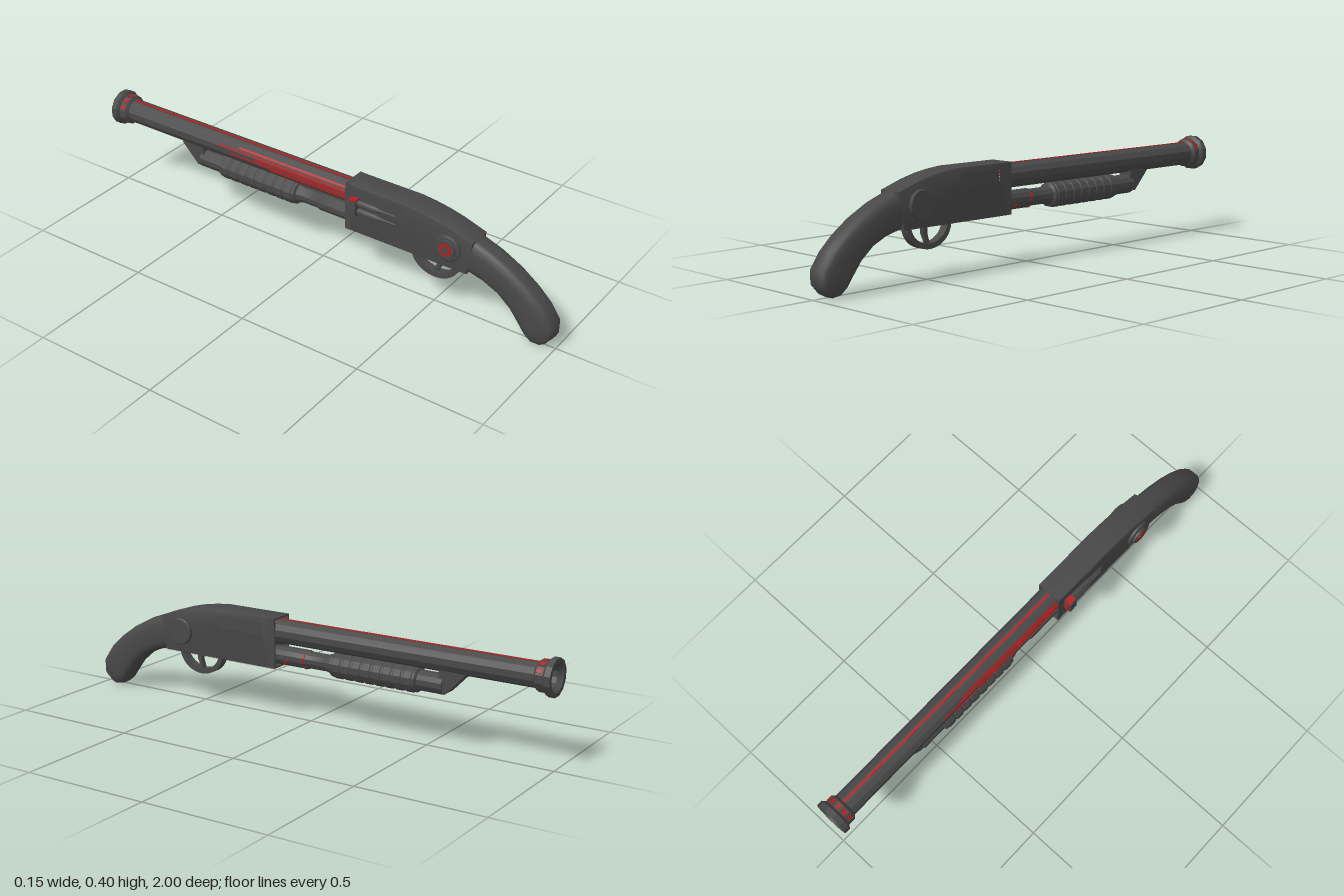
import * as THREE from 'three';
import { toCreasedNormals } from 'three/addons/utils/BufferGeometryUtils.js';

const gunmetal = new THREE.MeshStandardMaterial({ color: 0x484848, name: 'gunmetal' });
const red = new THREE.MeshStandardMaterial({ color: 0xb81c1c, name: 'red' });

const BARREL_Y = 0.34, TUBE_Y = 0.246;

export function createModel() {
  const root = new THREE.Group();
  root.name = 'shotgun';
  root.position.x = 0.005;

  const add = (name, geo, mat = gunmetal, x = 0, y = 0, z = 0) => {
    const mesh = new THREE.Mesh(geo, mat);
    mesh.name = name;
    mesh.position.set(x, y, z);
    root.add(mesh);
    return mesh;
  };

  // Turned part along z; profile is [radius, z] running from back to muzzle
  const turned = (profile, sides = 12) => toCreasedNormals(new THREE.LatheGeometry(
    profile.map(([r, z]) => new THREE.Vector2(r, -z)), sides, Math.PI / sides).rotateX(-Math.PI / 2), 0.45);

  // Turned part on the side of the body; profile is [radius, distance from centre]
  const knob = (profile, side) => toCreasedNormals(new THREE.LatheGeometry(
    profile.map(([r, d]) => new THREE.Vector2(r, d)), 20).rotateZ(-side * Math.PI / 2), 0.45);

  // Side outline given as [z, y], extruded across x and centred
  const outline = pts => new THREE.Shape(pts.map(([z, y]) => new THREE.Vector2(-z, y)));
  const slab = (shape, width, bevel = 0) => toCreasedNormals(new THREE.ExtrudeGeometry(shape, {
    depth: width - 2 * bevel, bevelEnabled: bevel > 0, bevelSize: bevel, bevelThickness: bevel,
    bevelOffset: -bevel, bevelSegments: 2, curveSegments: 16,
  }).translate(0, 0, -width / 2 + bevel).rotateY(Math.PI / 2), 0.5);

  // Thin plate lying on a z-axis cylinder; angle is measured from +x towards +y
  const plate = (name, angle, radius, cy, z, width, length) => {
    const a = THREE.MathUtils.degToRad(angle);
    const mesh = add(name, new THREE.BoxGeometry(0.004, width, length), red,
      Math.cos(a) * radius, cy + Math.sin(a) * radius, z);
    mesh.rotation.z = a;
  };

  // Receiver with an ejection port on the left side
  const body = outline([[0.15, 0.2], [0.15, 0.397], [0.4, 0.397], [0.46, 0.391], [0.52, 0.381],
    [0.58, 0.366], [0.67, 0.336], [0.65, 0.2]].reverse());
  body.holes.push(new THREE.Path([[0.39, 0.32], [0.39, 0.38], [0.185, 0.38], [0.185, 0.32]]
    .map(([z, y]) => new THREE.Vector2(-z, y))));
  add('receiver', slab(body, 0.1, 0.005));
  add('ejectionPort', new THREE.BoxGeometry(0.09, 0.066, 0.212), gunmetal, -0.0055, 0.35, 0.2875);

  // Raised rim around the receiver's front opening
  const box = (Type, w, y0, y1) => new Type([[-w, y0], [w, y0], [w, y1], [-w, y1]]
    .map(([x, y]) => new THREE.Vector2(x, y)));
  const rim = box(THREE.Shape, 0.049, 0.201, 0.396);
  rim.holes.push(box(THREE.Path, 0.042, 0.208, 0.389));
  add('receiverRim', new THREE.ExtrudeGeometry(rim, { depth: 0.025, bevelEnabled: false }), gunmetal, 0, 0, 0.13);

  // Curved grip lofted through [top z, top y, bottom z, bottom y, half width]
  add('grip', gripGeometry([
    [0.6, 0.355, 0.6, 0.203, 0.047], [0.67, 0.336, 0.645, 0.2, 0.05], [0.75, 0.306, 0.71, 0.183, 0.05],
    [0.83, 0.263, 0.77, 0.155, 0.05], [0.9, 0.213, 0.82, 0.112, 0.05], [0.955, 0.162, 0.855, 0.065, 0.05],
    [0.995, 0.105, 0.88, 0.03, 0.049], [0.995, 0.055, 0.905, 0.01, 0.044], [0.97, 0.022, 0.935, 0.003, 0.028],
  ]));

  // Trigger guard and trigger
  const guard = new THREE.Shape();
  guard.absellipse(-0.503, 0.205, 0.103, 0.09, Math.PI, 2 * Math.PI, false);
  guard.absellipse(-0.503, 0.205, 0.085, 0.07, 2 * Math.PI, Math.PI, true);
  add('triggerGuard', slab(guard, 0.034));
  add('trigger', slab(outline([[0.525, 0.21], [0.525, 0.17], [0.51, 0.135], [0.497, 0.135],
    [0.507, 0.17], [0.505, 0.21]]), 0.018));

  // Hollow barrel with a flared muzzle
  add('barrel', turned([[0.047, 0.16], [0.047, -0.93], [0.058, -0.94], [0.058, -0.968], [0.07, -0.978],
    [0.07, -1], [0.053, -1], [0.04, -0.98], [0.04, -0.8], [0, -0.8]]), gunmetal, 0, BARREL_Y);
  plate('topStripe', 90, 0.045, BARREL_Y, -0.4, 0.009, 1.07);
  for (const angle of [30, 60, 90, 120, 150]) plate('muzzleMark', angle, 0.0565, BARREL_Y, -0.954, 0.014, 0.02);

  // Stripes on the right side of the barrel, fading forward
  [[142, 0.5, 0.008], [158, 0.6, 0.006], [172, 0.42, 0.008], [187, 0.55, 0.005], [201, 0.35, 0.006]]
    .forEach(([angle, length, width]) => plate('sideStripe', angle, 0.046, BARREL_Y, 0.13 - length / 2, width, length));

  // Magazine tube
  add('magazineTube', turned([[0.036, 0.16], [0.036, 0.0], [0.032, -0.01], [0.032, -0.08], [0.038, -0.1],
    [0.038, -0.575], [0, -0.575]]), gunmetal, 0, TUBE_Y);
  plate('tubeMark', -30, 0.0355, TUBE_Y, 0.09, 0.012, 0.012);
  for (const angle of [-60, 0, 30]) plate('tubeMark', angle, 0.0355, TUBE_Y, 0.01, 0.014, 0.008);

  // Ribbed pump
  const pump = [[0.036, -0.105], [0.047, -0.112]];
  for (let i = 0; i < 8; i++) {
    const z = -0.122 - i * 0.043;
    pump.push([0.047, z], [0.05, z - 0.004], [0.05, z - 0.032], [0.047, z - 0.036]);
  }
  pump.push([0.047, -0.468], [0.036, -0.475]);
  add('pump', turned(pump), gunmetal, 0, TUBE_Y);

  // Wedge bracket joining tube and barrel
  add('frontBracket', slab(outline([[-0.56, 0.225], [-0.59, 0.22], [-0.665, 0.298], [-0.56, 0.305]].reverse()), 0.056));

  // Side caps
  add('leftCap', knob([[0.053, 0.04], [0.053, 0.06], [0.05, 0.063], [0, 0.063]], 1), gunmetal, 0, 0.285, 0.573);
  add('rightDial', knob([[0.053, 0.04], [0.053, 0.058], [0.045, 0.062], [0.038, 0.062], [0.036, 0.07],
    [0, 0.07]], -1), gunmetal, 0, 0.285, 0.573);
  add('dialRing', knob([[0.025, 0.065], [0.025, 0.072], [0, 0.072]], -1), red, 0, 0.285, 0.573);
  add('dialCentre', knob([[0.014, 0.07], [0.014, 0.074], [0, 0.074]], -1), gunmetal, 0, 0.285, 0.573);

  // Holder with two pins on the right side
  add('pinHolder', new THREE.BoxGeometry(0.035, 0.062, 0.035), gunmetal, -0.0635, 0.318, 0.178);
  add('holderTop', new THREE.BoxGeometry(0.026, 0.006, 0.03), red, -0.065, 0.35, 0.178);
  add('holderFront', new THREE.BoxGeometry(0.018, 0.05, 0.006), red, -0.066, 0.318, 0.16);
  for (const y of [0.302, 0.336]) {
    add('pin', turned([[0, 0.36], [0.004, 0.355], [0.005, 0.3], [0.013, 0.27], [0.013, 0.19]], 10), gunmetal, -0.058, y);
  }
  return root;
}

// Rounded cross-sections joined into a skin, closed at the far end
function gripGeometry(sections) {
  const n = 20, pos = [], index = [];
  const soft = v => Math.sign(v) * Math.abs(v) ** 0.65;
  for (const [tz, ty, bz, by, w] of sections) {
    for (let j = 0; j < n; j++) {
      const a = j / n * Math.PI * 2, s = soft(Math.sin(a)) / 2;
      pos.push(w * soft(Math.cos(a)), (ty + by) / 2 + (ty - by) * s, (tz + bz) / 2 + (tz - bz) * s);
    }
  }
  for (let i = 0; i < sections.length - 1; i++) {
    for (let j = 0; j < n; j++) {
      const a = i * n + j, b = i * n + (j + 1) % n;
      index.push(a, b, a + n, b, b + n, a + n);
    }
  }
  const [tz, ty, bz, by] = sections[sections.length - 1], last = (sections.length - 1) * n;
  pos.push(0, (ty + by) / 2 - 0.003, (tz + bz) / 2 + 0.002);
  for (let j = 0; j < n; j++) index.push(last + n, last + j, last + (j + 1) % n);
  const geo = new THREE.BufferGeometry();
  geo.setAttribute('position', new THREE.Float32BufferAttribute(pos, 3));
  geo.setIndex(index);
  geo.computeVertexNormals();
  return geo;
}
